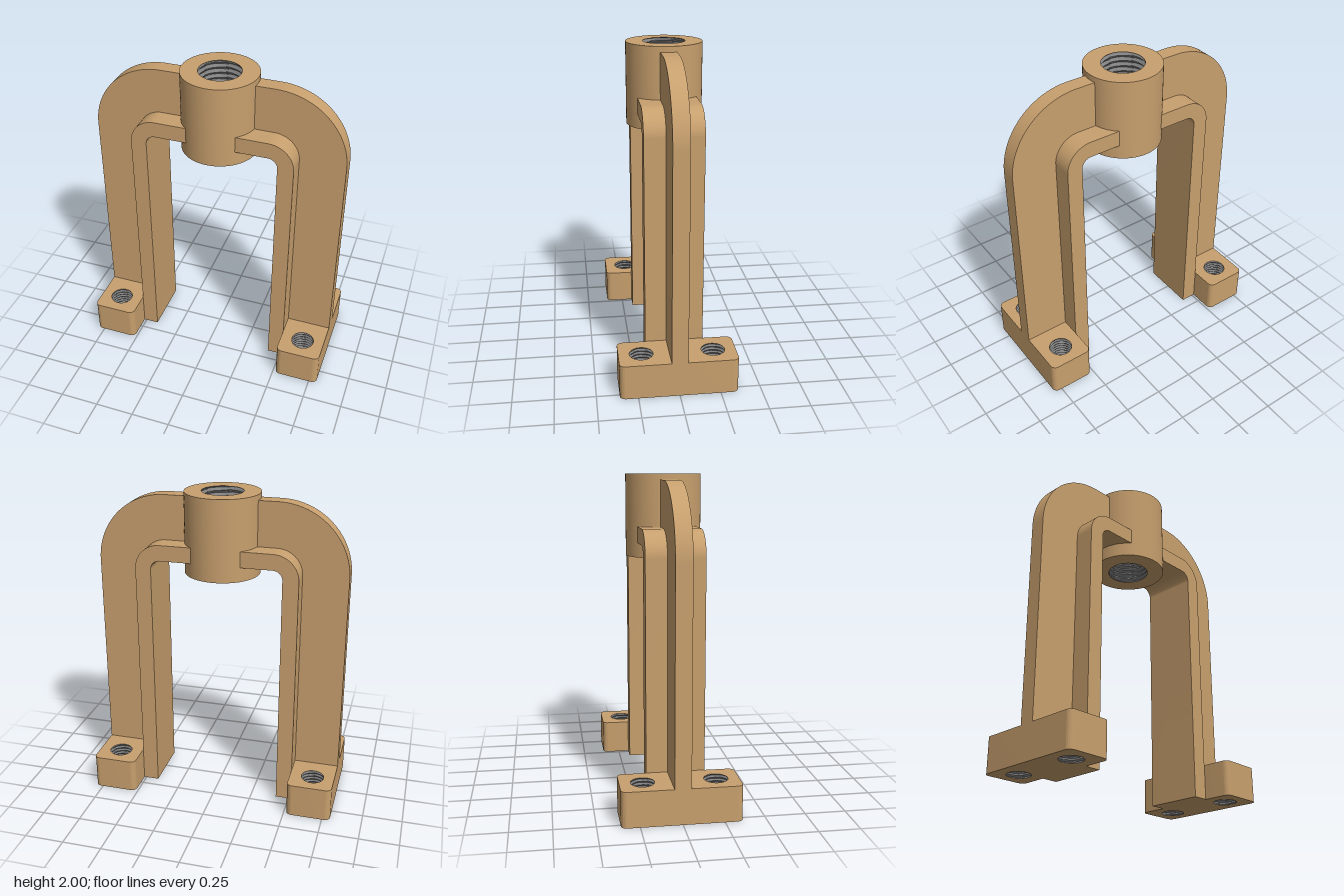
import * as THREE from 'three';
import { toCreasedNormals } from 'three/addons/utils/BufferGeometryUtils.js';

const tan = new THREE.MeshStandardMaterial({ color: 0xc8a06e });
tan.name = 'tanCasting';
const grey = new THREE.MeshStandardMaterial({ color: 0x808080 });
grey.name = 'greyThread';

const CREASE = 0.5;

function part(name, geometry, material = tan) {
  const mesh = new THREE.Mesh(toCreasedNormals(geometry, CREASE), material);
  mesh.name = name;
  return mesh;
}

// Upright block from a plan outline; its hole walls are left out for the threads
function drilledBlock(name, outline, holes, y0, height) {
  for (const h of holes) {
    outline.holes.push(new THREE.Path().absarc(h.x, h.y, h.r, 0, Math.PI * 2, true));
  }
  const solid = new THREE.ExtrudeGeometry(outline, { depth: height, bevelEnabled: false, curveSegments: 32 });
  const p = solid.attributes.position;
  const onHole = (i, h) => Math.hypot(p.getX(i) - h.x, p.getY(i) - h.y) < h.r * 1.01;
  const kept = [];
  for (let i = 0; i < p.count; i += 3) {
    if (holes.some(h => [i, i + 1, i + 2].every(j => onHole(j, h)))) continue;
    for (let j = i; j < i + 3; j++) kept.push(p.getX(j), p.getY(j), p.getZ(j));
  }
  const geo = new THREE.BufferGeometry();
  geo.setAttribute('position', new THREE.Float32BufferAttribute(kept, 3));
  geo.rotateX(-Math.PI / 2).translate(0, y0, 0);
  return part(name, geo);
}

// Helical thread cut outward from the hole radius, facing inward
function thread(name, x, z, r, y0, height, pitch, depth) {
  const rows = Math.round(height / pitch) * 6;
  const geo = new THREE.CylinderGeometry(r, r, height, 48, rows, true);
  const p = geo.attributes.position;
  for (let i = 0; i < p.count; i++) {
    const y = p.getY(i);
    if (Math.abs(y) > height / 2 - 1e-4) continue;
    const turn = y / pitch + Math.atan2(p.getZ(i), p.getX(i)) / (Math.PI * 2) + 100;
    const groove = 1 - Math.abs(2 * (turn % 1) - 1);
    const k = 1 + (depth * groove) / r;
    p.setX(i, p.getX(i) * k);
    p.setZ(i, p.getZ(i) * k);
  }
  geo.scale(-1, 1, 1).translate(x, y0 + height / 2, z);
  return part(name, geo, grey);
}

// Upright with a quarter bend at the top, running inward to xEnd
function bentBar(name, rIn, rOut, xEnd, yStart, width) {
  const cx = 0.355, cy = 1.52;
  const s = new THREE.Shape();
  s.moveTo(cx + rIn, yStart);
  s.lineTo(cx + rOut, yStart);
  s.lineTo(cx + rOut, cy);
  s.absarc(cx, cy, rOut, 0, Math.PI / 2, false);
  s.lineTo(xEnd, cy + rOut);
  s.lineTo(xEnd, cy + rIn);
  s.lineTo(cx, cy + rIn);
  s.absarc(cx, cy, rIn, Math.PI / 2, 0, true);
  s.closePath();
  const geo = new THREE.ExtrudeGeometry(s, { depth: width, bevelEnabled: false, curveSegments: 24 });
  return part(name, geo.translate(0, 0, -width / 2));
}

// Rounded rectangle plan of a foot
function footOutline(x0, x1, d, r) {
  const q = Math.PI / 2;
  const s = new THREE.Shape();
  s.absarc(x1 - r, d - r, r, 0, q, false);
  s.absarc(x0 + r, d - r, r, q, 2 * q, false);
  s.absarc(x0 + r, -d + r, r, 2 * q, 3 * q, false);
  s.absarc(x1 - r, -d + r, r, 3 * q, 4 * q, false);
  s.closePath();
  return s;
}

function makeLeg(name) {
  const leg = new THREE.Group();
  leg.name = name;
  leg.add(bentBar('flange', 0.06, 0.16, 0.152, 0, 0.36));
  leg.add(bentBar('web', 0.16, 0.445, 0.2, 0.2, 0.1));
  const holes = [-0.22, 0.22].map(y => ({ x: 0.66, y, r: 0.072 }));
  leg.add(drilledBlock('foot', footOutline(0.515, 0.8, 0.36, 0.036), holes, 0, 0.22));
  for (const h of holes) leg.add(thread('footThread', h.x, h.y, h.r, 0, 0.22, 0.022, 0.01));
  return leg;
}

export function createModel() {
  const model = new THREE.Group();
  model.name = 'yokeBracket';

  // Central threaded boss
  const ring = new THREE.Shape().absarc(0, 0, 0.237, 0, Math.PI * 2, false);
  model.add(drilledBlock('boss', ring, [{ x: 0, y: 0, r: 0.13 }], 1.49, 0.51));
  model.add(thread('bossThread', 0, 0, 0.13, 1.49, 0.51, 0.034, 0.016));

  // Two identical legs, one turned half way round
  const right = makeLeg('rightLeg');
  right.rotation.y = Math.PI;
  model.add(makeLeg('leftLeg'), right);
  return model;
}
